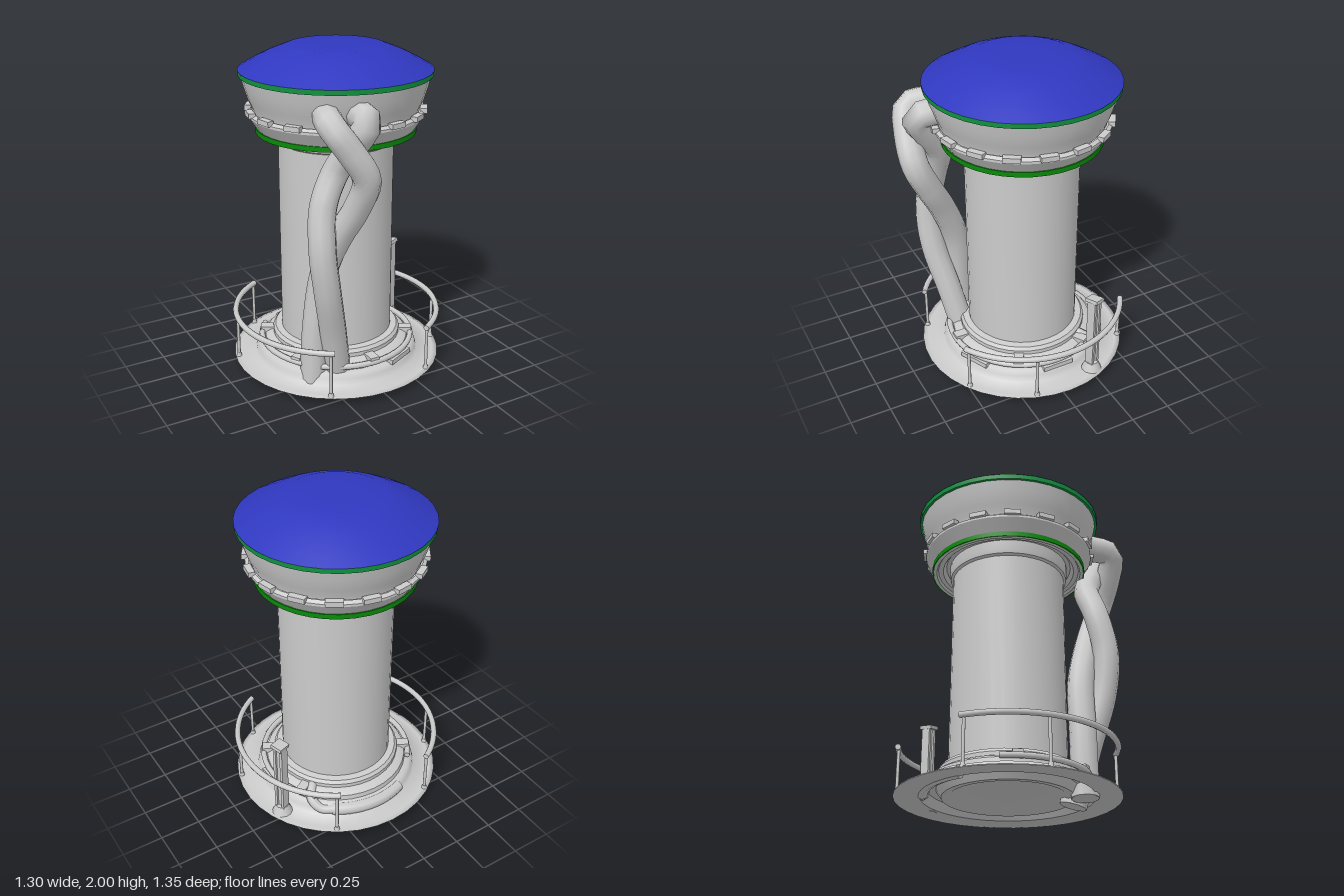
import * as THREE from 'three';
import { toCreasedNormals } from 'three/addons/utils/BufferGeometryUtils.js';

const mat = (color) => new THREE.MeshStandardMaterial({ color, side: THREE.DoubleSide });
const grey = mat(0xcccccc), blue = mat(0x3038c0), teal = mat(0x129040), green = mat(0x0a8a0a);
const V = (x, y, z) => new THREE.Vector3(x, y, z);
const rad = THREE.MathUtils.degToRad;

export function createModel() {
  const model = new THREE.Group();
  const tower = new THREE.Group();
  tower.name = 'tower';
  tower.position.z = -0.025;
  model.add(tower);

  const add = (name, geo, material = grey, parent = tower) => {
    const m = new THREE.Mesh(geo, material);
    m.name = name;
    parent.add(m);
    return m;
  };
  // Turned part: profile runs from bottom to top, crease angle in degrees
  const turn = (name, pts, material = grey, crease = 30) => add(name,
    toCreasedNormals(new THREE.LatheGeometry(pts.map(p => new THREE.Vector2(...p)), 36), rad(crease)), material);
  // Horizontal bent bar; angles run from +x towards +z
  const arc = (name, R, r, y, from, to) => {
    const g = new THREE.Group();
    g.name = name;
    const bar = add(name + 'Bar', new THREE.TorusGeometry(R, r, 8, 32, rad(to - from)), grey, g);
    bar.rotation.set(Math.PI / 2, 0, rad(from));
    for (const a of [from, to]) {
      const cap = add(name + 'End', new THREE.CircleGeometry(r, 8), grey, g);
      cap.position.set(R * Math.cos(rad(a)), 0, R * Math.sin(rad(a)));
      cap.rotation.y = -rad(a);
    }
    g.position.y = y;
    tower.add(g);
  };
  // Place an object on a circle, its local +x pointing outwards
  const onCircle = (obj, R, y, a) => {
    obj.position.set(R * Math.cos(rad(a)), y, R * Math.sin(rad(a)));
    obj.rotation.y = -rad(a);
    return obj;
  };

  // Underside: shallow bowl, channel and thin platform edge
  turn('underside', [[0, 0.1], [0.17, 0.1], [0.27, 0.085], [0.34, 0.05], [0.38, 0.048], [0.41, 0.095],
    [0.465, 0.1], [0.5, 0.05], [0.62, 0.04], [0.65, 0.043]], grey, 50);

  // Thin platform flowing into the wall of the foot
  turn('platform', [[0.65, 0.043], [0.65, 0.048], [0.618, 0.05], [0.515, 0.05], [0.505, 0.09], [0.485, 0.115],
    [0.45, 0.12]].reverse(), grey, 100);

  // Stepped foot
  turn('foot', [[0.455, 0.115], [0.45, 0.15], [0.42, 0.17], [0.4, 0.175], [0.4, 0.2], [0.385, 0.22], [0.345, 0.225]]);

  // Column and the collar beneath the head
  turn('column', [[0.345, 0.2], [0.345, 1.44]]);
  turn('collar', [[0.345, 1.435], [0.36, 1.445], [0.365, 1.47], [0.365, 1.56]]);

  // Head: lower skirt, bowl, coloured bands and dome
  turn('headSkirt', [[0.36, 1.53], [0.39, 1.53], [0.41, 1.505], [0.44, 1.505], [0.45, 1.49], [0.47, 1.49], [0.47, 1.52],
    [0.52, 1.595], [0.52, 1.61], [0.5, 1.625]]);
  turn('headBowl', [[0.49, 1.62], [0.495, 1.645], [0.515, 1.69], [0.54, 1.77], [0.555, 1.84]]);
  turn('lowerBand', [[0.468, 1.49], [0.477, 1.49], [0.477, 1.52], [0.468, 1.52]], green);
  turn('upperBand', [[0.54, 1.83], [0.568, 1.83], [0.568, 1.86]], teal);
  turn('dome', [[0.571, 1.86], [0.5, 1.9], [0.4, 1.951], [0.285, 1.996], [0.14, 1.999], [0, 2]], blue, 60);

  // Clips round the waist of the head
  for (let i = 0; i < 16; i++)
    onCircle(add('headClip', new THREE.BoxGeometry(0.04, 0.03, 0.1)), 0.516, 1.622, i * 22.5 + 11.25);

  // Bar round the foot, its brackets, and two pads
  arc('footBar', 0.472, 0.018, 0.153, -42, 222);
  for (let a = -30; a <= 210; a += 60)
    onCircle(add('footBracket', new THREE.BoxGeometry(0.09, 0.045, 0.06)), 0.435, 0.163, a);
  for (const a of [65, 0])
    onCircle(add('footPad', new THREE.BoxGeometry(0.06, 0.03, 0.2)), 0.465, 0.122, a);

  // Fat hose along the back of the foot with a hooked end
  arc('backHose', 0.485, 0.04, 0.08, -112, -55);
  const hook = [V(0.28, 0.08, -0.4), V(0.34, 0.085, -0.36), V(0.37, 0.13, -0.3), V(0.33, 0.17, -0.24), V(0.28, 0.17, -0.2)];
  add('hoseHook', new THREE.TubeGeometry(new THREE.CatmullRomCurve3(hook), 16, 0.03, 8));

  // Railings on both sides
  const rails = [['leftRailing', -60, 60, [-58, 19, 58]], ['rightRailing', 120, 240, [122, 196, 238]]];
  for (const [name, from, to, posts] of rails) {
    arc(name, 0.633, 0.018, 0.333, from, to);
    for (const a of posts) {
      onCircle(add('railPost', new THREE.CylinderGeometry(0.01, 0.01, 0.28, 8)), 0.628, 0.19, a);
      onCircle(add('railPostFoot', new THREE.CylinderGeometry(0.012, 0.018, 0.025, 8)), 0.628, 0.06, a);
    }
  }

  // Tall console post: two flanges, a web, a flared foot and a sloping cap
  const post = onCircle(new THREE.Group(), 0.575, 0, -22);
  post.name = 'consolePost';
  tower.add(post);
  const box = (name, w, h, d, x, y, z) => {
    const m = add(name, new THREE.BoxGeometry(w, h, d), grey, post);
    m.position.set(x, y, z);
    return m;
  };
  for (const s of [-1, 1]) box('postFlange', 0.055, 0.52, 0.018, 0, 0.315, s * 0.024);
  box('postWeb', 0.03, 0.52, 0.04, 0, 0.315, 0);
  box('postCap', 0.085, 0.022, 0.075, 0, 0.582, 0).rotation.set(-0.15, 0, 0.1);
  const flare = add('postFoot', new THREE.CylinderGeometry(0.04, 0.065, 0.06, 12), grey, post);
  flare.position.y = 0.075;

  // Two thick hoses twisting round each other, from the head down to the floor
  const hoses = {
    frontHose: [V(-0.29, 1.7, 0.38), V(-0.335, 1.675, 0.54), V(-0.255, 1.55, 0.585), V(-0.155, 1.38, 0.59),
      V(-0.165, 1.2, 0.51), V(-0.22, 1, 0.405), V(-0.27, 0.75, 0.31), V(-0.31, 0.4, 0.28), V(-0.325, 0.025, 0.27)],
    sideHose: [V(-0.12, 1.71, 0.4), V(-0.14, 1.685, 0.57), V(-0.18, 1.56, 0.505), V(-0.24, 1.4, 0.41),
      V(-0.325, 1.2, 0.41), V(-0.352, 0.95, 0.45), V(-0.32, 0.7, 0.445), V(-0.245, 0.38, 0.38), V(-0.17, 0.02, 0.31)],
  };
  for (const [name, pts] of Object.entries(hoses)) {
    const curve = new THREE.CatmullRomCurve3(pts);
    add(name, new THREE.TubeGeometry(curve, 40, 0.08, 10), grey, model);
    for (const t of [0, 1]) {
      const cap = add(name + 'End', new THREE.CircleGeometry(0.08, 10), grey, model);
      cap.position.copy(curve.getPointAt(t));
      cap.quaternion.setFromUnitVectors(V(0, 0, 1), curve.getTangentAt(t).multiplyScalar(t ? 1 : -1));
    }
  }
  return model;
}
